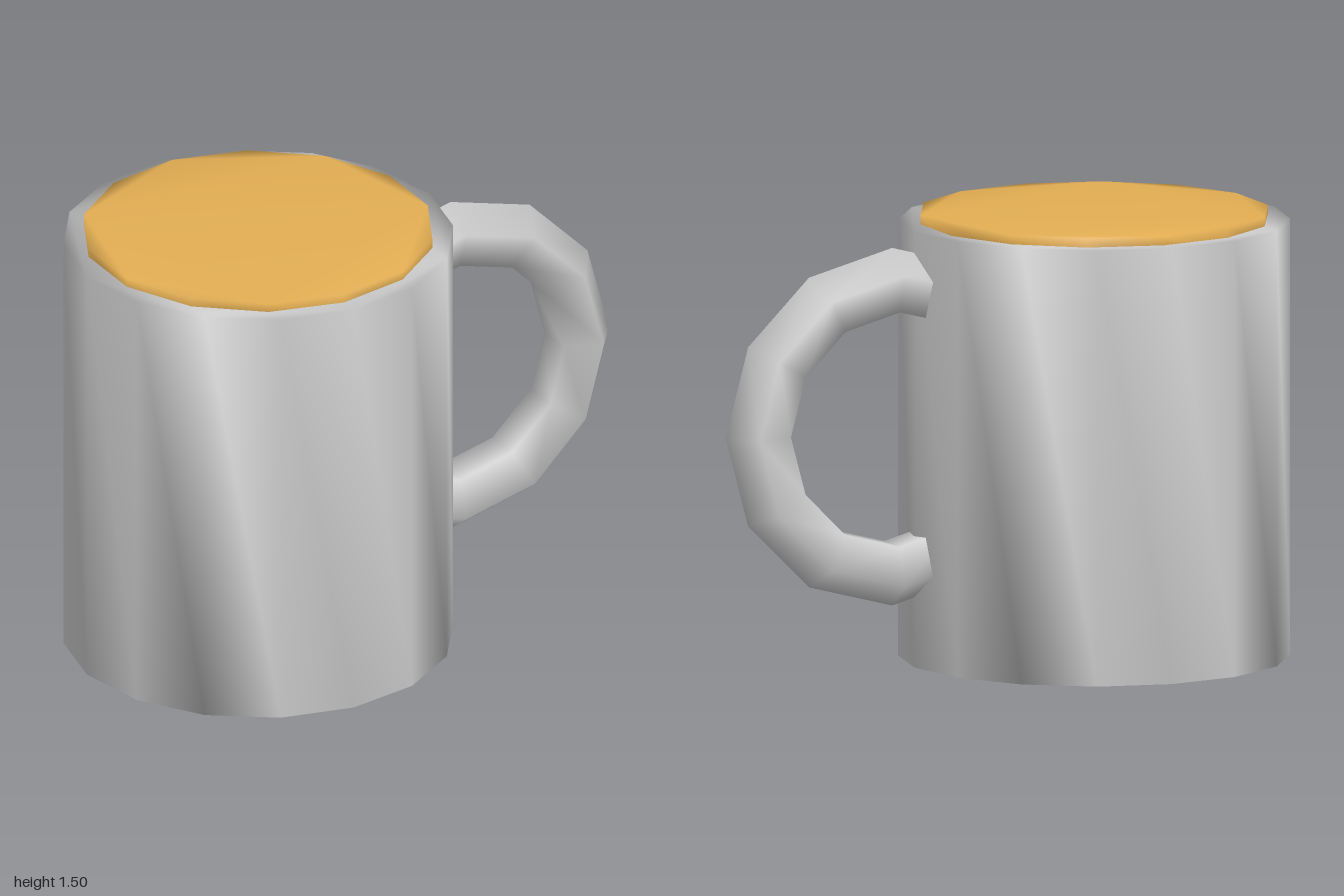
import * as THREE from 'three';
import { mergeVertices } from 'three/addons/utils/BufferGeometryUtils.js';

// Weld all corners so shading runs smoothly over every edge
function weld(geometry) {
  geometry.deleteAttribute('uv');
  geometry.deleteAttribute('normal');
  const welded = mergeVertices(geometry, 1e-4);
  welded.computeVertexNormals();
  return welded;
}

// Upright closed prism with one corner on the z axis
function prism(radius, height, sides) {
  const corners = [];
  for (let i = 0; i < sides; i++) {
    const a = Math.PI / 2 + (i / sides) * Math.PI * 2;
    corners.push(new THREE.Vector2(radius * Math.cos(a), radius * Math.sin(a)));
  }
  const geometry = new THREE.ExtrudeGeometry(new THREE.Shape(corners), {
    depth: height, steps: 1, bevelEnabled: false,
  });
  return weld(geometry.rotateX(-Math.PI / 2));
}

export function createModel() {
  const group = new THREE.Group();
  group.name = 'mug';
  const grey = new THREE.MeshStandardMaterial({ color: 0xcccccc });
  const amber = new THREE.MeshStandardMaterial({ color: 0xe3ae53 });

  const add = (name, geometry, material, x, y) => {
    const mesh = new THREE.Mesh(geometry, material);
    mesh.name = name;
    mesh.position.set(x, y, 0);
    group.add(mesh);
  };

  const bodyX = -0.345;
  add('body', prism(0.655, 1.475, 16), grey, bodyX, 0);

  // Drink, standing slightly proud of the rim
  add('drink', prism(0.59, 0.08, 14), amber, bodyX, 1.425);

  // Five-sided handle ring, its open ends buried in the body
  const arc = (Math.PI * 4) / 3;
  const ring = new THREE.TorusGeometry(0.49, 0.115, 5, 8, arc).rotateZ(-arc / 2);
  add('handle', weld(ring), grey, 0.39, 0.82);

  return group;
}
